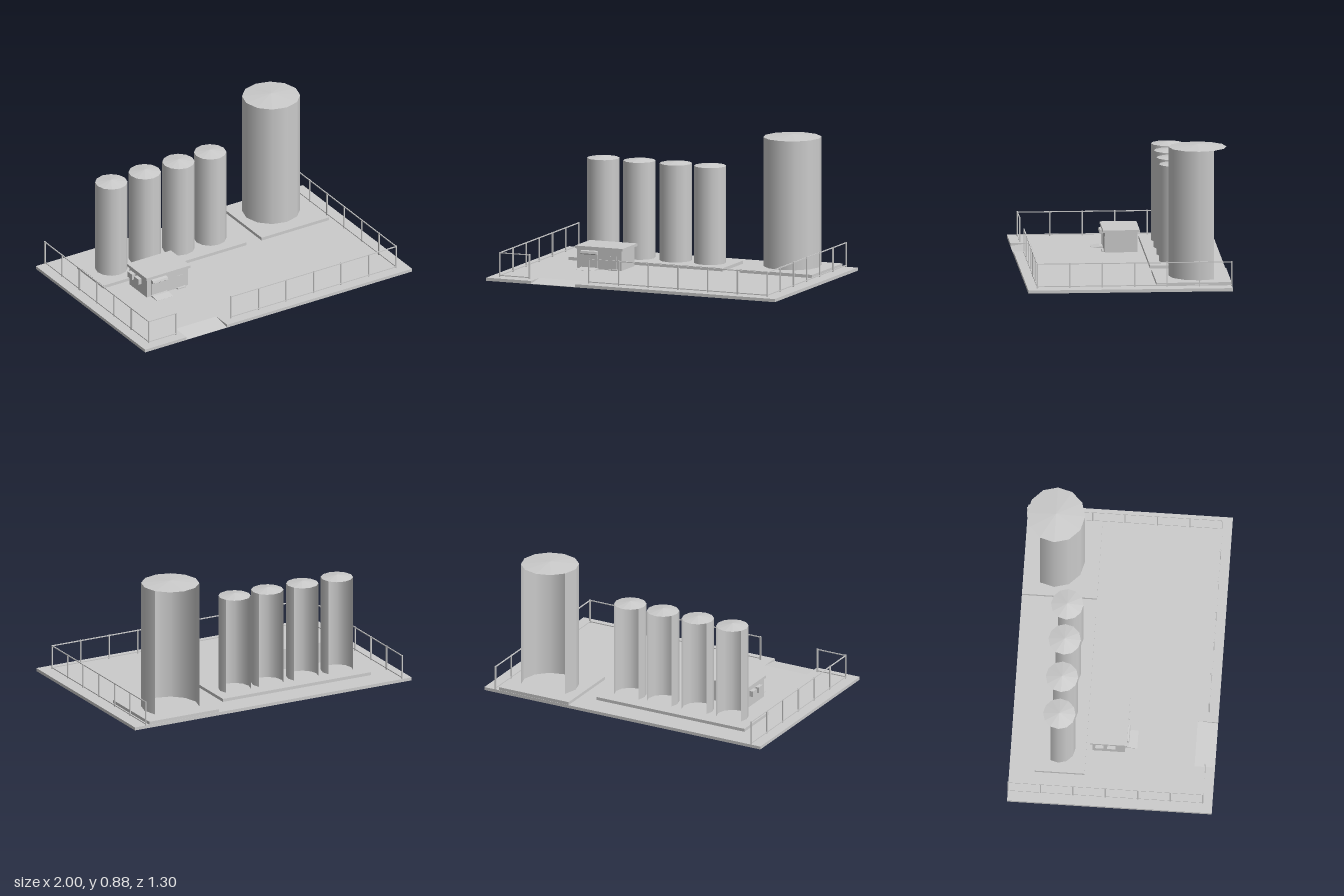
import * as THREE from 'three';

const grey = new THREE.MeshStandardMaterial({ color: 0xcccccc, side: THREE.DoubleSide });
const greyFlat = new THREE.MeshStandardMaterial({ color: 0xcccccc, side: THREE.DoubleSide, flatShading: true });

function add(parent, name, geometry, material = greyFlat) {
  const mesh = new THREE.Mesh(geometry, material);
  mesh.name = name;
  parent.add(mesh);
  return mesh;
}

// Box given by its minimum and maximum corners
function box(parent, name, [x0, y0, z0], [x1, y1, z1]) {
  const mesh = add(parent, name, new THREE.BoxGeometry(x1 - x0, y1 - y0, z1 - z0));
  mesh.position.set((x0 + x1) / 2, (y0 + y1) / 2, (z0 + z1) / 2);
  return mesh;
}

// Wedge with its profile in (z, y), extruded along x
function wedge(parent, name, x0, x1, profile) {
  const shape = new THREE.Shape(profile.map(([z, y]) => new THREE.Vector2(-z, y)));
  const geometry = new THREE.ExtrudeGeometry(shape, { depth: x1 - x0, bevelEnabled: false });
  geometry.rotateY(Math.PI / 2);
  return add(parent, name, geometry.translate(x0, 0, 0));
}

// Silo: curved wall open at the back third, under a shallow cone roof
function silo(parent, name, x, z, radius, base, eave, top) {
  const group = new THREE.Group();
  group.name = name;
  const height = eave - base;
  const wall = new THREE.CylinderGeometry(radius, radius, height, 8, 1, true, -Math.PI * 2 / 3, Math.PI * 4 / 3);
  add(group, 'siloWall', wall, grey).position.y = base + height / 2;
  const roof = new THREE.ConeGeometry(radius, top - eave, 12, 1, true);
  add(group, 'siloRoof', roof).position.y = (eave + top) / 2;
  group.position.set(x, 0, z);
  parent.add(group);
}

// Straight fence run with evenly spaced posts and two rails
function fence(parent, name, x0, z0, x1, z1, bays) {
  const group = new THREE.Group();
  group.name = name;
  const t = 0.004;
  for (let i = 0; i <= bays; i++) {
    const x = x0 + (x1 - x0) * i / bays;
    const z = z0 + (z1 - z0) * i / bays;
    box(group, 'fencePost', [x - t, 0.02, z - t], [x + t, 0.18, z + t]);
  }
  for (const y of [0.03, 0.175]) {
    box(group, 'fenceRail',
      [Math.min(x0, x1) - 0.003, y - 0.003, Math.min(z0, z1) - 0.003],
      [Math.max(x0, x1) + 0.003, y + 0.003, Math.max(z0, z1) + 0.003]);
  }
  parent.add(group);
}

export function createModel() {
  const model = new THREE.Group();
  model.name = 'siloYard';

  // Ground slab with a notch for the entrance ramp
  const outline = [[-1, -0.65], [-0.69, -0.65], [-0.69, -0.52], [-0.385, -0.52],
    [-0.385, -0.65], [1, -0.65], [1, 0.65], [-1, 0.65]];
  const slab = new THREE.ExtrudeGeometry(
    new THREE.Shape(outline.map(([x, y]) => new THREE.Vector2(x, y))), { depth: 0.02, bevelEnabled: false });
  add(model, 'groundSlab', slab.rotateX(-Math.PI / 2));
  wedge(model, 'entranceRamp', -0.69, -0.385, [[0.52, 0], [0.65, 0], [0.65, 0.002], [0.52, 0.02]]);

  // Foundations
  box(model, 'smallSiloBase', [-0.795, 0.02, -0.488], [0.275, 0.04, -0.172]);
  box(model, 'largeSiloBase', [0.39, 0.02, -0.648], [0.895, 0.04, -0.172]);

  // Silos
  for (const x of [-0.628, -0.378, -0.125, 0.112]) silo(model, 'smallSilo', x, -0.343, 0.103, 0.04, 0.663, 0.68);
  silo(model, 'largeSilo', 0.635, -0.449, 0.185, 0.04, 0.868, 0.885);

  // Fences along both sides and the front, leaving the gateway open
  fence(model, 'rightFence', -0.933, -0.648, -0.933, 0.588, 6);
  fence(model, 'leftFence', 0.92, -0.648, 0.92, 0.588, 6);
  fence(model, 'frontFenceShort', -0.933, 0.588, -0.728, 0.588, 1);
  fence(model, 'frontFenceLong', -0.316, 0.588, 0.92, 0.588, 6);

  // Control hut
  const hut = new THREE.Group();
  hut.name = 'controlHut';
  model.add(hut);
  box(hut, 'hutWalls', [-0.625, 0.02, -0.132], [-0.318, 0.148, 0.074]);
  box(hut, 'hutRoof', [-0.634, 0.147, -0.147], [-0.305, 0.164, 0.086]);
  box(hut, 'wideDoor', [-0.588, 0.025, 0.07], [-0.485, 0.115, 0.077]);
  wedge(hut, 'awning', -0.592, -0.48, [[0.074, 0.113], [0.09, 0.113], [0.1, 0.12], [0.096, 0.135], [0.074, 0.138]]);
  wedge(hut, 'doorRamp', -0.595, -0.475, [[0.074, 0.02], [0.15, 0.02], [0.15, 0.021], [0.095, 0.029], [0.074, 0.029]]);
  box(hut, 'sideDoor', [-0.396, 0.025, 0.07], [-0.35, 0.11, 0.077]);
  box(hut, 'doorStep', [-0.403, 0.02, 0.074], [-0.342, 0.027, 0.092]);
  for (const z of [-0.088, -0.012]) {
    box(hut, 'wallUnit', [-0.65, 0.09, z - 0.026], [-0.625, 0.128, z + 0.026]);
  }

  return model;
}
